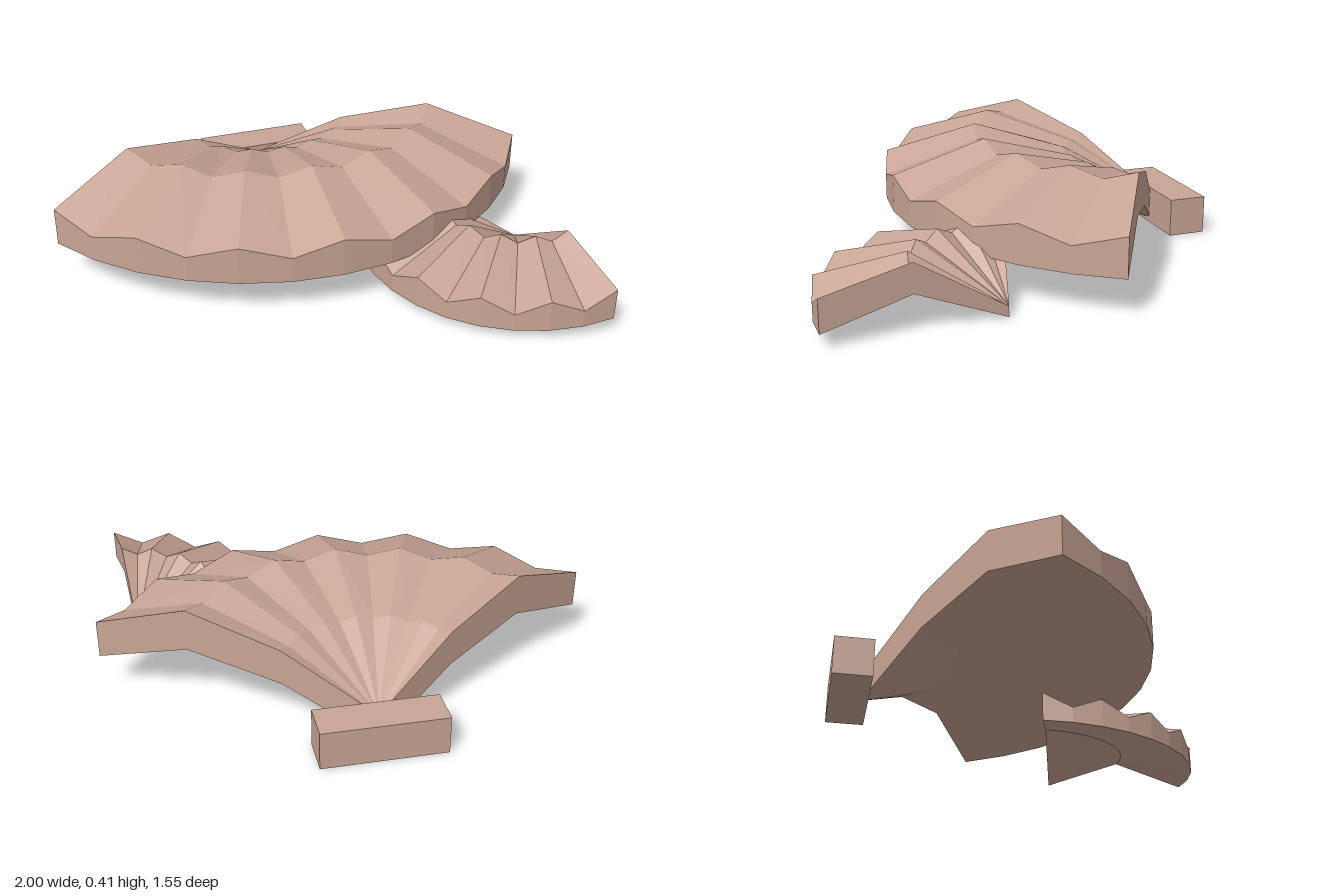
import * as THREE from 'three';

const shellPink = new THREE.MeshStandardMaterial({ color: 0xc8a595, flatShading: true });
shellPink.name = 'shell pink';

// Ribbed fan shell. Each ring is [radius, ridge height, valley height, underside height].
function fanShell(name, rings, fromDeg, toDeg, segments, tilt = 0) {
  const pos = [];
  const mid = (fromDeg + toDeg) / 2;
  const point = (i, j, top) => {
    const deg = fromDeg + (toDeg - fromDeg) * i / segments;
    const a = THREE.MathUtils.degToRad(deg);
    const [r, ridge, valley, under] = rings[j];
    const drop = tilt * r * Math.cos(THREE.MathUtils.degToRad(deg - mid));
    const y = top ? (i % 2 ? valley : ridge) : under;
    return [r * Math.sin(a), y - drop, r * Math.cos(a)];
  };
  const tri = (a, b, c) => pos.push(...a, ...b, ...c);
  const quad = (a, b, c, d) => { tri(a, b, c); tri(a, c, d); };
  const last = rings.length - 1;

  for (let i = 0; i < segments; i++) {
    for (let j = 0; j < last; j++) {
      // ribbed top and smooth underside
      for (const top of [true, false]) {
        const a = point(i, j, top), b = point(i, j + 1, top);
        const c = point(i + 1, j + 1, top), d = point(i + 1, j, top);
        if (top) tri(a, b, c); else tri(c, b, a);
        if (j > 0) { if (top) tri(a, c, d); else tri(d, c, a); }
      }
    }
    // outer rim
    quad(point(i, last, false), point(i + 1, last, false), point(i + 1, last, true), point(i, last, true));
  }
  // straight side walls
  for (let j = 0; j < last; j++) {
    for (const i of [0, segments]) {
      const w = [point(i, j, false), point(i, j + 1, false), point(i, j + 1, true), point(i, j, true)];
      if (i) w.reverse();
      quad(...w);
    }
  }
  const geo = new THREE.BufferGeometry();
  geo.setAttribute('position', new THREE.Float32BufferAttribute(pos, 3));
  geo.computeVertexNormals();
  const mesh = new THREE.Mesh(geo, shellPink);
  mesh.name = name;
  return mesh;
}

export function createModel() {
  const group = new THREE.Group();
  group.name = 'shells';

  // large scallop shell
  const large = fanShell('largeShell', [
    [0, 0.11, 0.11, 0.0],
    [0.371, 0.31, 0.295, 0.17],
    [0.742, 0.41, 0.375, 0.245],
    [1.113, 0.295, 0.245, 0.145],
  ], -48, 72, 12);
  large.position.set(-0.18, 0, -0.61);
  group.add(large);

  // hinge block behind the large shell
  const hinge = new THREE.Mesh(new THREE.BoxGeometry(0.475, 0.15, 0.15), shellPink);
  hinge.name = 'hinge';
  hinge.position.set(-0.185, 0.075, -0.657);
  hinge.rotation.y = THREE.MathUtils.degToRad(12);
  group.add(hinge);

  // small shell, tipped slightly towards its rim
  const small = fanShell('smallShell', [
    [0, 0.04, 0.04, 0.0],
    [0.335, 0.266, 0.235, 0.156],
    [0.65, 0.21, 0.155, 0.088],
  ], -93, 17, 10, 0.085);
  small.position.set(0.8, 0, 0.12);
  group.add(small);

  return group;
}
